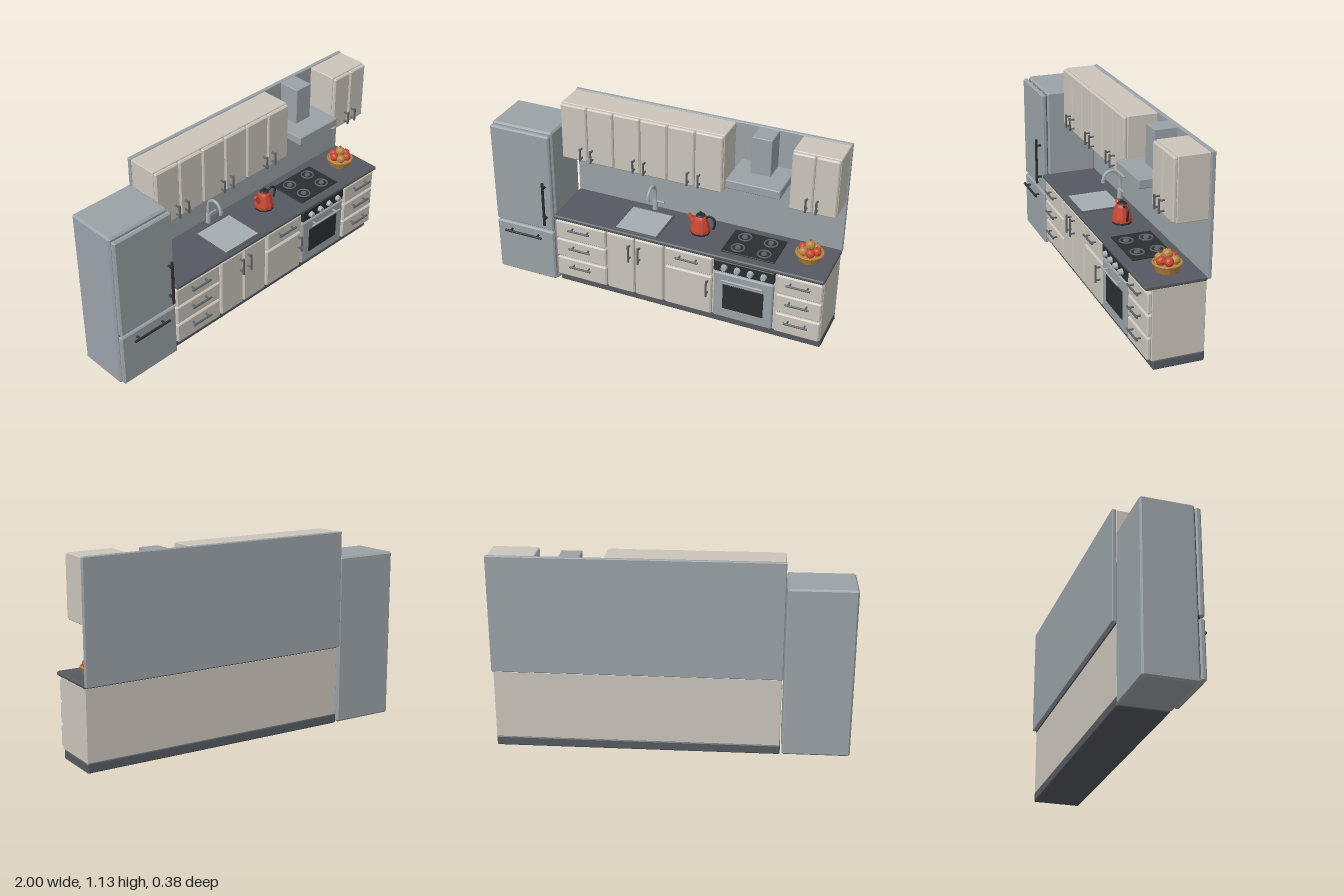
import * as THREE from 'three';
import { ConvexGeometry } from 'three/addons/geometries/ConvexGeometry.js';

const mat = (name, color, opts = {}) => Object.assign(new THREE.MeshStandardMaterial({ color, ...opts }), { name });

export function createModel() {
  const root = new THREE.Group();
  root.name = 'kitchen';

  const steel = mat('steel', 0x9aa2a7);
  const cream = mat('cream', 0xcbc5bb);
  const stone = mat('dark stone', 0x555a60);
  const black = mat('black', 0x2b2f31);
  const metal = mat('handle metal', 0x5d6266);
  const chrome = mat('chrome', 0xa6adb1);
  const red = mat('red', 0xcb4630, { flatShading: true });
  const wicker = mat('wicker', 0xb98542, { flatShading: true });
  const brown = mat('brown', 0x8a5a2b, { flatShading: true });

  const add = (name, geo, material, x = 0, y = 0, z = 0, parent = root) => {
    const m = new THREE.Mesh(geo, material);
    m.name = name;
    m.position.set(x, y, z);
    parent.add(m);
    return m;
  };

  // Chamfered box given by its limits
  const box = (name, material, x0, x1, y0, y1, z0, z1, b = 0.005) => {
    const h = [(x1 - x0) / 2, (y1 - y0) / 2, (z1 - z0) / 2];
    const pts = [];
    for (const sx of [-1, 1]) for (const sy of [-1, 1]) for (const sz of [-1, 1])
      for (let k = 0; k < 3; k++)
        pts.push(new THREE.Vector3(
          sx * (h[0] - (k === 0 ? 0 : b)),
          sy * (h[1] - (k === 1 ? 0 : b)),
          sz * (h[2] - (k === 2 ? 0 : b))));
    return add(name, new ConvexGeometry(pts), material, (x0 + x1) / 2, (y0 + y1) / 2, (z0 + z1) / 2);
  };

  // Bar handle on two posts; zf is the face it is fixed to
  const handle = (name, x, y, zf, len, vertical, material = metal, r = 0.006, out = 0.03) => {
    const g = new THREE.Group();
    g.name = name;
    g.position.set(x, y, zf);
    add('bar', new THREE.CylinderGeometry(r, r, len, 8), material, 0, 0, out, g);
    for (const s of [-1, 1]) {
      const post = add('post', new THREE.CylinderGeometry(r * 0.9, r * 0.9, out, 8), material, 0, s * len * 0.36, out / 2, g);
      post.rotation.x = Math.PI / 2;
    }
    if (!vertical) g.rotation.z = Math.PI / 2;
    root.add(g);
  };

  // Fridge
  box('fridgeBody', steel, -1, -0.62, 0.005, 0.985, -0.172, 0.122, 0.01);
  box('fridgeUpperDoor', steel, -0.996, -0.622, 0.36, 0.975, 0.126, 0.157, 0.008);
  box('fridgeLowerDoor', steel, -0.996, -0.622, 0.02, 0.35, 0.126, 0.157, 0.008);
  box('fridgeDoorSeal', black, -0.985, -0.635, 0.03, 0.965, 0.11, 0.135);
  handle('fridgeUpperHandle', -0.66, 0.55, 0.155, 0.28, true, black, 0.008, 0.032);
  handle('fridgeLowerHandle', -0.81, 0.308, 0.155, 0.24, false, black, 0.007, 0.03);

  // Wall panel, base cabinets and worktop
  box('backPanel', steel, -0.612, 1, 0.465, 1.135, -0.19, -0.166, 0.004);
  box('plinth', stone, -0.61, 0.995, 0.003, 0.058, -0.168, 0.115, 0.006);
  box('baseCabinet', cream, -0.608, 0.995, 0.056, 0.458, -0.166, 0.125, 0.003);
  box('worktop', stone, -0.612, 1, 0.455, 0.479, -0.17, 0.165, 0.006);

  // Drawer banks
  const rows = [[0.322, 0.44, 0.405], [0.198, 0.316, 0.28], [0.064, 0.19, 0.153]];
  for (const [x0, x1] of [[-0.608, -0.29], [0.735, 0.993]])
    for (const [y0, y1, hy] of rows) {
      box('drawerFront', cream, x0, x1, y0, y1, 0.122, 0.15, 0.007);
      handle('drawerHandle', (x0 + x1) / 2, hy, 0.148, 0.135, false);
    }

  // Lower doors
  box('sinkDoor', cream, -0.28, -0.112, 0.064, 0.44, 0.122, 0.15, 0.007);
  box('sinkDoor', cream, -0.104, 0.068, 0.064, 0.44, 0.122, 0.15, 0.007);
  for (const x of [-0.135, -0.075]) handle('sinkDoorHandle', x, 0.352, 0.148, 0.11, true);
  box('middleDrawer', cream, 0.08, 0.362, 0.325, 0.44, 0.122, 0.15, 0.007);
  box('middleDoor', cream, 0.08, 0.362, 0.064, 0.316, 0.122, 0.15, 0.007);
  handle('middleDrawerHandle', 0.22, 0.405, 0.148, 0.135, false);
  handle('middleDoorHandle', 0.34, 0.25, 0.148, 0.105, true);

  // Wall cabinets
  box('wallCabinet', cream, -0.61, 0.36, 0.785, 1.132, -0.166, 0.006, 0.004);
  box('wallCabinetRight', cream, 0.736, 0.995, 0.785, 1.132, -0.166, 0.006, 0.004);
  const upperDoor = (x0, x1, hx) => {
    box('wallDoor', cream, x0, x1, 0.79, 1.128, 0.003, 0.027, 0.007);
    handle('wallDoorHandle', hx, 0.847, 0.025, 0.078, true);
  };
  for (let i = 0; i < 6; i++) {
    const x0 = -0.608 + i * 0.1615;
    upperDoor(x0, x0 + 0.157, i % 2 ? x0 + 0.03 : x0 + 0.127);
  }
  upperDoor(0.738, 0.863, 0.835);
  upperDoor(0.868, 0.993, 0.893);

  // Extractor hood
  box('hoodDuct', steel, 0.492, 0.606, 0.91, 1.132, -0.167, -0.04, 0.003);
  box('hoodCanopy', steel, 0.398, 0.704, 0.866, 0.916, -0.167, 0.084, 0.004);
  box('hoodFilter', metal, 0.42, 0.682, 0.862, 0.868, -0.14, 0.06, 0.001);

  // Oven
  box('ovenDoor', steel, 0.375, 0.72, 0.066, 0.362, 0.122, 0.15, 0.006);
  box('ovenWindow', black, 0.43, 0.668, 0.13, 0.293, 0.147, 0.153, 0.001);
  handle('ovenHandle', 0.548, 0.335, 0.148, 0.24, false, chrome);
  box('controlPanel', black, 0.372, 0.722, 0.372, 0.444, 0.122, 0.152, 0.005);
  for (let i = 0; i < 4; i++) {
    const knob = add('knob', new THREE.CylinderGeometry(0.015, 0.019, 0.024, 16), chrome, 0.436 + i * 0.076, 0.408, 0.162);
    knob.rotation.x = Math.PI / 2;
  }

  // Hob with four burners
  box('hob', black, 0.398, 0.704, 0.477, 0.486, -0.115, 0.112, 0.002);
  for (const x of [0.475, 0.627]) for (const z of [-0.058, 0.055]) {
    const ring = add('burnerRing', new THREE.TorusGeometry(0.036, 0.005, 6, 24), metal, x, 0.487, z);
    ring.rotation.x = Math.PI / 2;
    add('burnerCap', new THREE.CylinderGeometry(0.015, 0.018, 0.01, 16), metal, x, 0.49, z);
  }

  // Sink: raised rim around a shallow basin
  for (const [a, b] of [[-0.24, -0.23], [0.018, 0.028]]) box('sinkRim', stone, a, b, 0.47, 0.485, -0.11, 0.15, 0.002);
  for (const [a, b] of [[-0.11, -0.1], [0.135, 0.15]]) box('sinkRim', stone, -0.24, 0.028, 0.47, 0.485, a, b, 0.002);
  box('sinkBasin', chrome, -0.231, 0.019, 0.474, 0.482, -0.101, 0.136, 0.001);

  // Faucet with swan neck and side lever
  const neck = [[0.48, -0.138], [0.585, -0.138], [0.625, -0.128], [0.65, -0.098], [0.648, -0.066], [0.625, -0.042], [0.592, -0.035]]
    .map(([y, z]) => new THREE.Vector3(-0.107, y, z));
  add('faucetNeck', new THREE.TubeGeometry(new THREE.CatmullRomCurve3(neck), 32, 0.009, 10), chrome);
  add('faucetTip', new THREE.CylinderGeometry(0.011, 0.011, 0.02, 10), chrome, -0.107, 0.595, -0.035);
  add('faucetBase', new THREE.CylinderGeometry(0.013, 0.016, 0.06, 12), chrome, -0.107, 0.508, -0.138);
  const lever = add('faucetLever', new THREE.CylinderGeometry(0.005, 0.006, 0.055, 8), chrome, -0.078, 0.533, -0.138);
  lever.rotation.z = Math.PI / 2;

  // Kettle
  const kettle = new THREE.Group();
  kettle.name = 'kettle';
  kettle.position.set(0.222, 0.479, -0.02);
  root.add(kettle);
  add('kettleBase', new THREE.CylinderGeometry(0.055, 0.055, 0.012, 10), black, 0, 0.006, 0, kettle);
  const body = [[0.057, 0.012], [0.056, 0.03], [0.038, 0.096], [0.03, 0.108], [0, 0.112]].map(p => new THREE.Vector2(...p));
  add('kettleBody', new THREE.LatheGeometry(body, 10), red, 0, 0, 0, kettle);
  add('kettleLid', new THREE.CylinderGeometry(0.022, 0.028, 0.008, 10), black, 0, 0.113, 0, kettle);
  add('kettleKnob', new THREE.CylinderGeometry(0.009, 0.007, 0.014, 8), black, 0, 0.123, 0, kettle);
  const spout = add('kettleSpout', new THREE.CylinderGeometry(0.009, 0.018, 0.065, 8), red, -0.054, 0.077, 0, kettle);
  spout.rotation.z = 0.6;
  const grip = [[0.03, 0.1], [0.055, 0.112], [0.08, 0.1], [0.085, 0.07], [0.076, 0.035]].map(([x, y]) => new THREE.Vector3(x, y, 0));
  add('kettleHandle', new THREE.TubeGeometry(new THREE.CatmullRomCurve3(grip), 14, 0.007, 6), black, 0, 0, 0, kettle);

  // Fruit basket
  const basket = new THREE.Group();
  basket.name = 'fruitBasket';
  basket.position.set(0.862, 0.479, -0.01);
  root.add(basket);
  add('basketBowl', new THREE.CylinderGeometry(0.076, 0.06, 0.044, 14), wicker, 0, 0.024, 0, basket);
  const rim = add('basketRim', new THREE.TorusGeometry(0.074, 0.006, 6, 16), wicker, 0, 0.046, 0, basket);
  rim.rotation.x = Math.PI / 2;
  for (let i = 0; i < 6; i++) {
    const a = i * Math.PI / 3 + 0.2;
    const x = Math.cos(a) * 0.042, z = Math.sin(a) * 0.042;
    add('apple', new THREE.IcosahedronGeometry(0.026, 1), i % 3 === 2 ? wicker : red, x, 0.064, z, basket);
    add('appleStem', new THREE.CylinderGeometry(0.002, 0.002, 0.014, 5), brown, x, 0.093, z, basket);
  }
  add('topFruit', new THREE.IcosahedronGeometry(0.028, 1), wicker, 0, 0.092, 0, basket);
  add('topFruitStem', new THREE.CylinderGeometry(0.003, 0.004, 0.016, 5), brown, 0, 0.123, 0, basket);

  return root;
}
